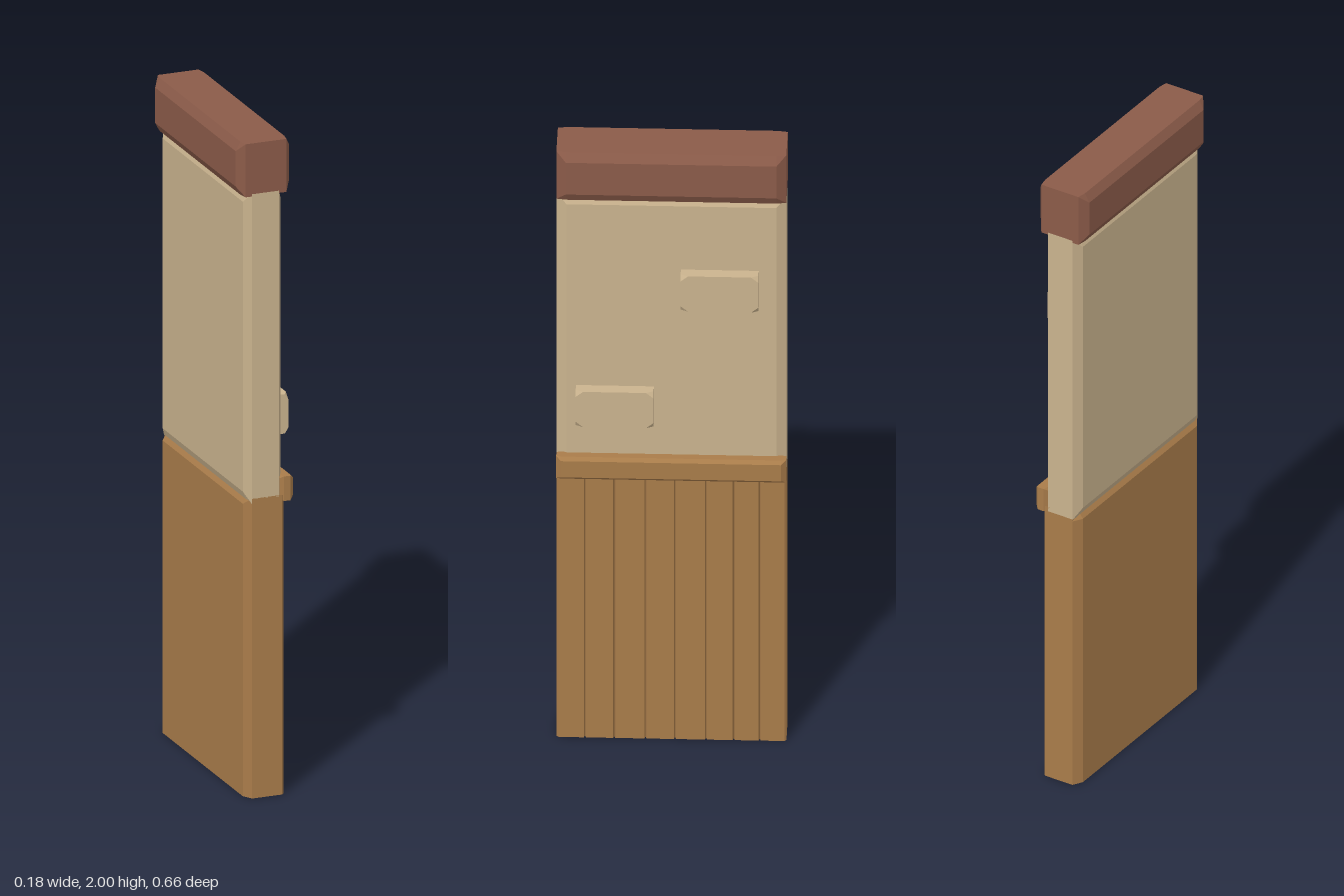
import * as THREE from 'three';
import { ConvexGeometry } from 'three/addons/geometries/ConvexGeometry.js';

const HALF = 0.332; // half length of the wall along z

const mat = (name, color, side = THREE.FrontSide) => {
  const m = new THREE.MeshStandardMaterial({ color, side });
  m.name = name;
  return m;
};

// Wall-length bar: long edges and upright corners chamfered, end faces flat.
function chamferedBar(x0, x1, y0, y1, cx, cy, cz) {
  const pts = [];
  const add = (x, y, z) => pts.push(new THREE.Vector3(x, y, z), new THREE.Vector3(x, y, -z));
  for (const [x, s] of [[x0, 1], [x1, -1]]) {
    for (const [y, t] of [[y0, 1], [y1, -1]]) {
      add(x, y + t * cy, HALF - cz);
      add(x + s * cx * 0.75, y, HALF - cz);
      add(x + s * cx, y + t * cy, HALF);
      add(x + s * cx, y, HALF);
    }
  }
  return new ConvexGeometry(pts);
}

// Raised brick whose outer corners are cut off.
function cutBrick(x0, x1, h, w, c) {
  const pts = [];
  for (const sy of [-1, 1]) for (const sz of [-1, 1]) {
    const y = sy * h / 2, z = sz * w / 2;
    pts.push(
      new THREE.Vector3(x0, y, z),
      new THREE.Vector3(x1 - 0.011, y, z),
      new THREE.Vector3(x1, y - sy * c, z),
      new THREE.Vector3(x1, y, z - sz * c * 1.2)
    );
  }
  return new ConvexGeometry(pts);
}

// Open-bottomed shell with V grooves between the planks on the +x face.
function plankShell() {
  const face = 0.05, g = 0.003, depth = 0.01;
  const plan = [[0.044, HALF], [face, HALF - 0.006]];
  for (const z of [0.25, 0.165, 0.075, -0.01, -0.1, -0.18, -0.255]) {
    plan.push([face, z + g], [face - depth, z], [face, z - g]);
  }
  plan.push([face, -HALF + 0.006], [0.044, -HALF], [-0.05, -HALF],
    [-0.067, -HALF + 0.029], [-0.067, HALF - 0.029], [-0.05, HALF]);

  const rings = [
    plan.map(([x, z]) => [x, 0, z]),
    plan.map(([x, z]) => [x, 0.893, z]),
    plan.map(([x, z]) => [Math.max(x, -0.052), 0.915, z])
  ];
  const pos = [];
  for (let r = 0; r < 2; r++) {
    for (let i = 0; i < plan.length; i++) {
      const j = (i + 1) % plan.length;
      const a = rings[r][i], b = rings[r][j], c = rings[r + 1][j], d = rings[r + 1][i];
      pos.push(...a, ...b, ...c, ...a, ...c, ...d);
    }
  }
  const geo = new THREE.BufferGeometry();
  geo.setAttribute('position', new THREE.Float32BufferAttribute(pos, 3));
  geo.computeVertexNormals();
  return geo;
}

export function createModel() {
  const group = new THREE.Group();
  group.name = 'wallSegment';
  const plaster = mat('plaster', 0xcab38e);
  const wood = mat('wood', 0xa97c4a, THREE.DoubleSide);
  const capWood = mat('redBrownWood', 0x8b5b49);

  const add = (name, geo, material, y = 0, z = 0) => {
    const mesh = new THREE.Mesh(geo, material);
    mesh.name = name;
    mesh.position.set(0, y, z);
    group.add(mesh);
  };

  // Lower half: planks and the rail above them
  add('plankWainscot', plankShell(), wood);
  add('wainscotRail', chamferedBar(0.036, 0.083, 0.895, 0.97, 0.013, 0.01, 0.014), wood);

  // Upper half: plaster panel with two raised bricks
  add('plasterPanel', chamferedBar(-0.067, 0.05, 0.9, 1.845, 0.016, 0.03, 0.029), plaster);
  const brick = cutBrick(0.04, 0.087, 0.12, 0.225, 0.018);
  add('upperBrick', brick, plaster, 1.54, -0.14);
  add('lowerBrick', brick, plaster, 1.14, 0.163);

  // Top beam
  add('topCap', chamferedBar(-0.09, 0.077, 1.838, 2, 0.02, 0.027, 0.028), capWood);

  return group;
}
